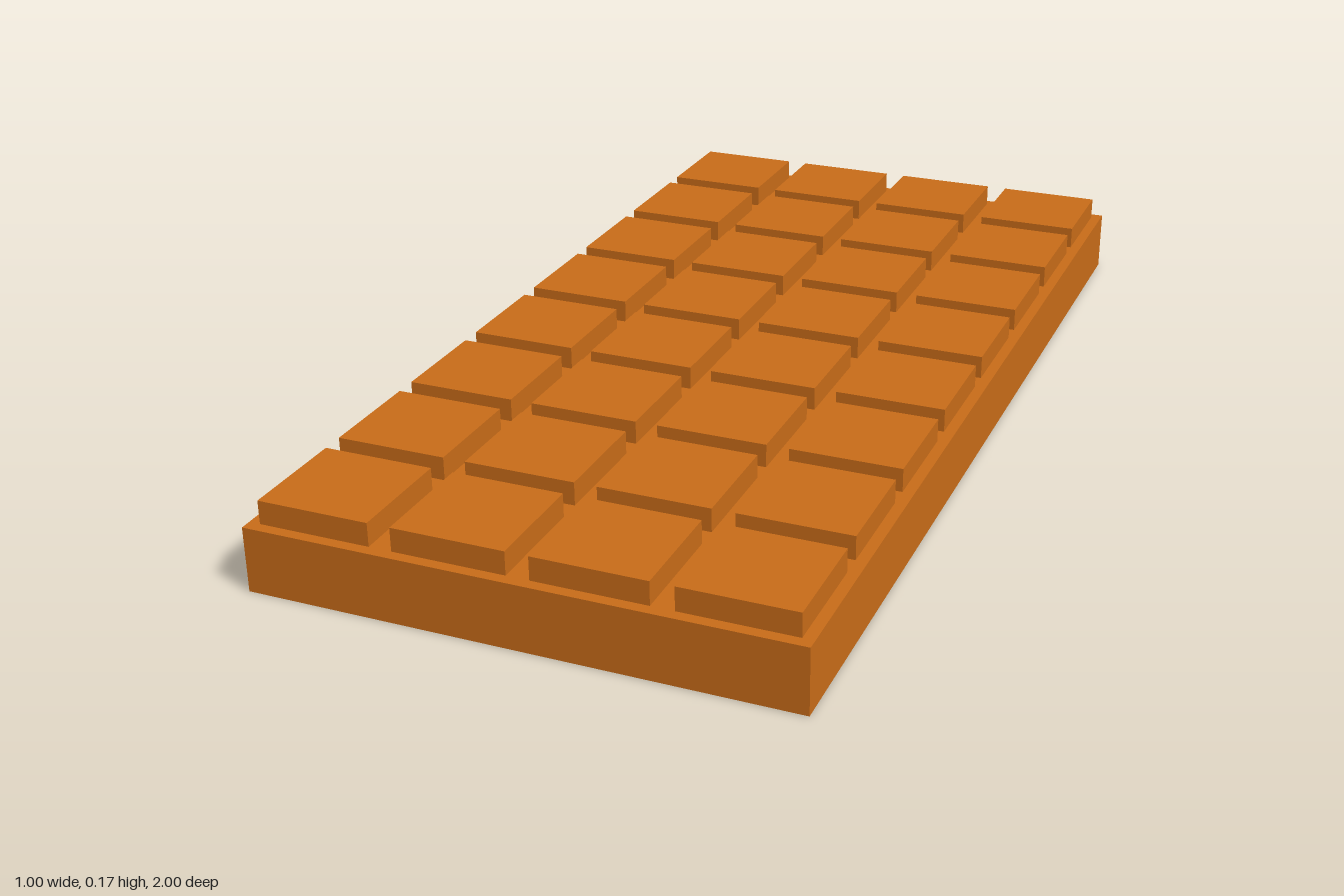
import * as THREE from 'three';

const COLUMNS = 4, ROWS = 8, PITCH = 0.25;
const BASE_HEIGHT = 0.122, TILE_SIZE = 0.208, TILE_HEIGHT = 0.044;

export function createModel() {
  const model = new THREE.Group();
  model.name = 'segmentedBar';
  const material = new THREE.MeshStandardMaterial({ color: 0xc96c18 });

  // Solid slab underneath
  const base = new THREE.Mesh(new THREE.BoxGeometry(COLUMNS * PITCH, BASE_HEIGHT, ROWS * PITCH), material);
  base.name = 'base';
  base.position.y = BASE_HEIGHT / 2;
  model.add(base);

  // Grid of raised square segments
  const segments = new THREE.Group();
  segments.name = 'segments';
  const tile = new THREE.BoxGeometry(TILE_SIZE, TILE_HEIGHT, TILE_SIZE);
  for (let row = 0; row < ROWS; row++) {
    for (let column = 0; column < COLUMNS; column++) {
      const segment = new THREE.Mesh(tile, material);
      segment.name = `segment row ${row + 1} column ${column + 1}`;
      segment.position.set(
        (column - (COLUMNS - 1) / 2) * PITCH,
        BASE_HEIGHT + TILE_HEIGHT / 2,
        (row - (ROWS - 1) / 2) * PITCH
      );
      segments.add(segment);
    }
  }
  model.add(segments);
  return model;
}
